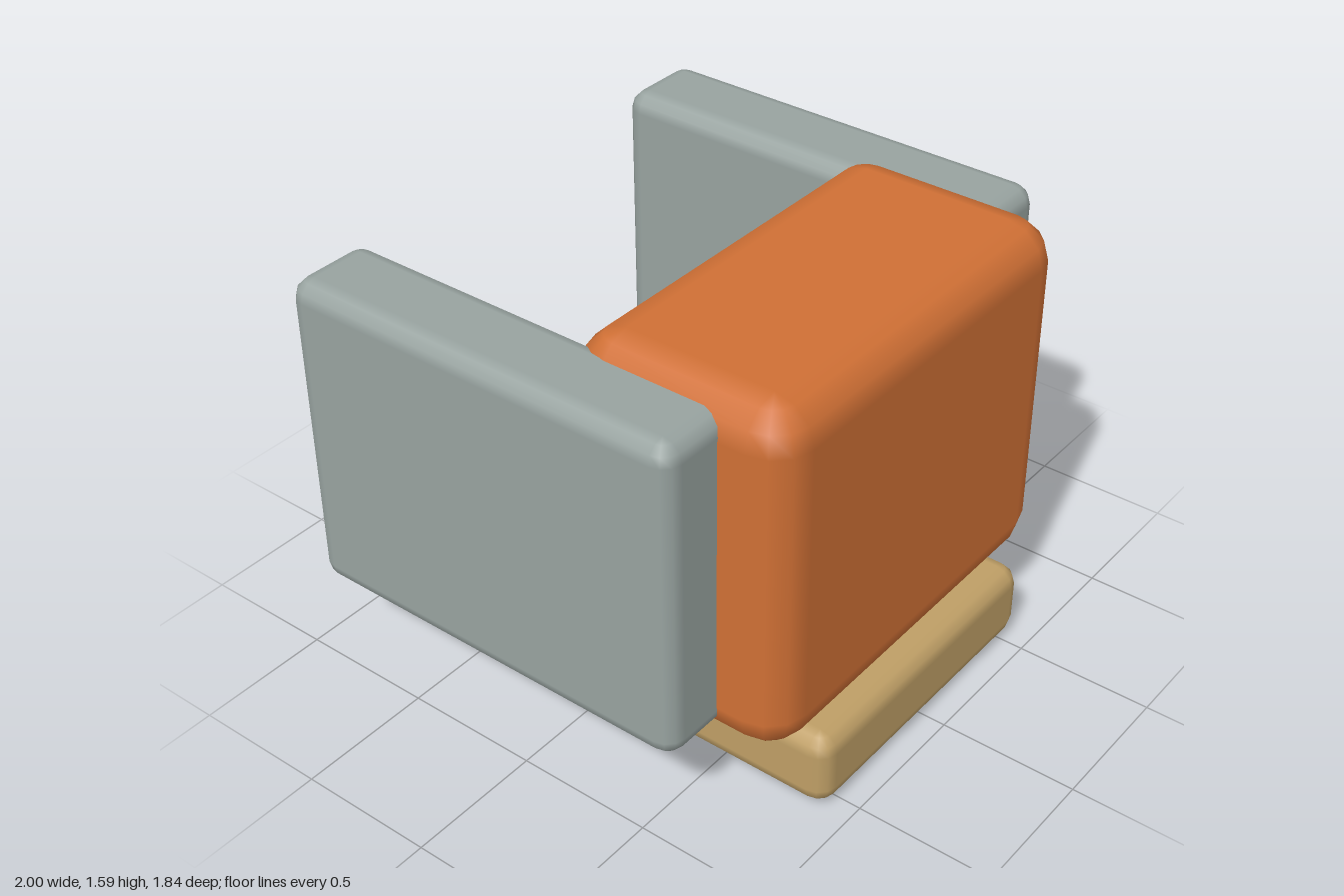
import * as THREE from 'three';

const orange = new THREE.MeshStandardMaterial({ name: 'orange', color: 0xd07035 });
const tan = new THREE.MeshStandardMaterial({ name: 'tan', color: 0xbf9f66 });
const grey = new THREE.MeshStandardMaterial({ name: 'grey', color: 0x98a3a0 });

// Box with rounded edges of three steps: a sphere grid pulled apart to the eight corners
function softBox(w, h, d, r) {
  const geo = new THREE.SphereGeometry(1, 16, 9);
  const pos = geo.attributes.position, nor = geo.attributes.normal;
  const inner = new THREE.Vector3(w / 2 - r, h / 2 - r, d / 2 - r);
  const n = new THREE.Vector3();
  const step = Math.PI / 6;
  for (let row = 0, i = 0; row <= 9; row++) {
    const cap = row === 0 || row === 9; // centre of the flat top or bottom
    const upper = row < 5;
    const tilt = cap ? (upper ? 0 : Math.PI) : (upper ? row - 1 : row - 2) * step;
    for (let col = 0; col <= 16; col++, i++) {
      const k = col % 16, quarter = Math.floor(k / 4);
      const turn = quarter * Math.PI / 2 + (k % 4) * step;
      n.set(-Math.cos(turn) * Math.sin(tilt), Math.cos(tilt), Math.sin(turn) * Math.sin(tilt));
      const sx = cap ? 0 : (quarter === 0 || quarter === 3 ? -1 : 1);
      const sz = cap ? 0 : (quarter < 2 ? 1 : -1);
      const sy = upper ? 1 : -1;
      pos.setXYZ(i, sx * inner.x + n.x * r, sy * inner.y + n.y * r, sz * inner.z + n.z * r);
      nor.setXYZ(i, n.x, n.y, n.z);
    }
  }
  return geo;
}

// Adds a rounded box given by its limits on each axis
function addBlock(group, name, material, [x0, x1], [y0, y1], [z0, z1], r) {
  const mesh = new THREE.Mesh(softBox(x1 - x0, y1 - y0, z1 - z0, r), material);
  mesh.name = name;
  mesh.position.set((x0 + x1) / 2, (y0 + y1) / 2, (z0 + z1) / 2);
  group.add(mesh);
}

export function createModel() {
  const model = new THREE.Group();
  model.name = 'model';

  // Main block and the slab it stands on
  addBlock(model, 'body', orange, [-0.772, 0.772], [0.277, 1.585], [0.025, 0.863], 0.145);
  addBlock(model, 'base', tan, [-0.597, 0.597], [0, 0.285], [-0.03, 0.922], 0.07);

  // Side panels reaching backwards
  addBlock(model, 'leftPanel', grey, [0.665, 1], [0.337, 1.525], [-0.922, 0.622], 0.07);
  addBlock(model, 'rightPanel', grey, [-1, -0.665], [0.337, 1.525], [-0.922, 0.622], 0.07);

  return model;
}
